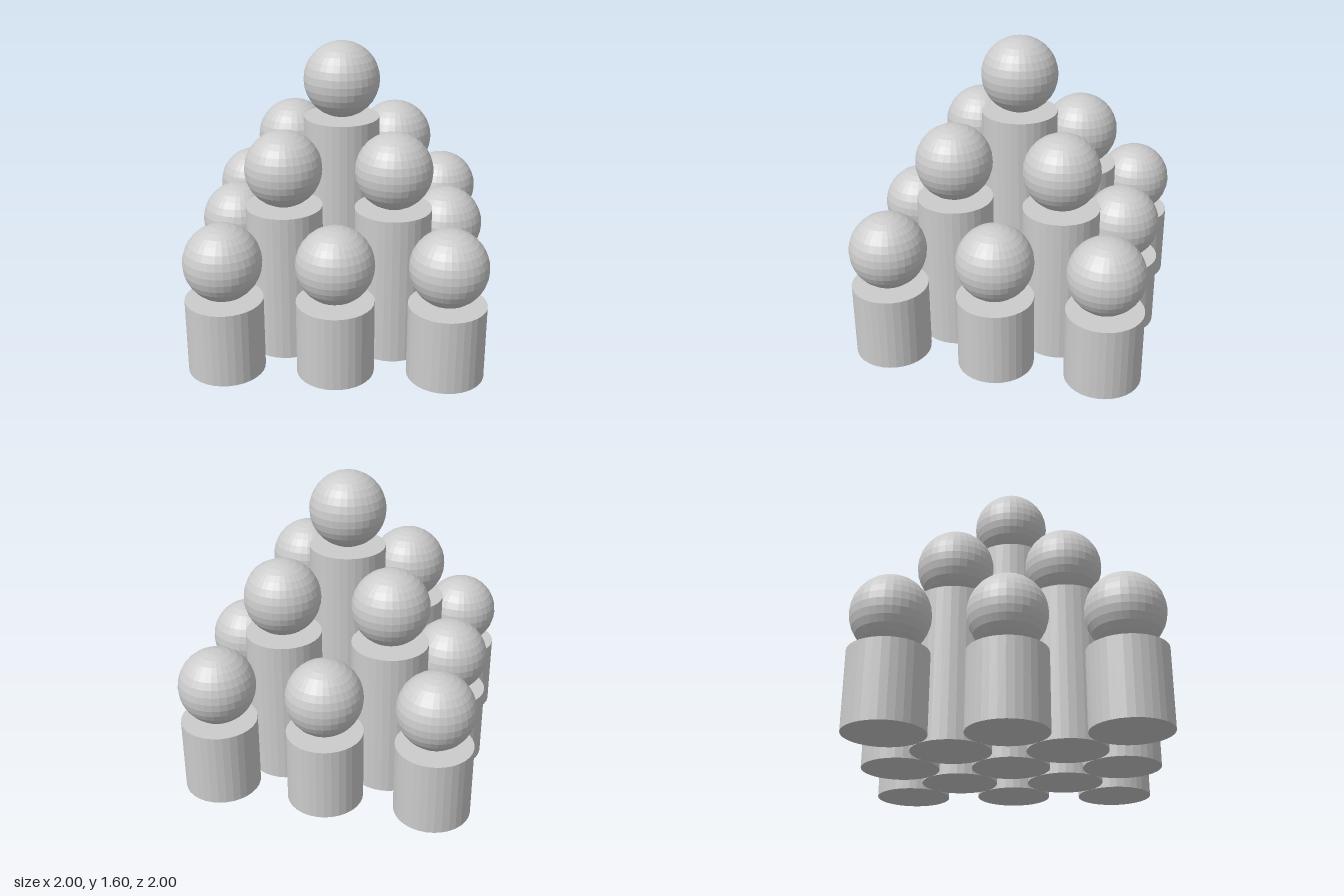
import * as THREE from 'three';

const RADIUS = 0.2;   // shared by columns and balls
const SPACING = 0.4;  // grid pitch, so neighbours touch
const STEP = 0.4;     // height gained per ring towards the centre
const RINGS = 2;

export function createModel() {
  const model = new THREE.Group();
  model.name = 'steppedColumns';
  const material = new THREE.MeshStandardMaterial({ color: 0xcccccc, flatShading: true });
  const ballGeometry = new THREE.SphereGeometry(RADIUS, 32, 16);

  // Diamond grid of columns, each carrying a ball
  for (let i = -RINGS; i <= RINGS; i++) {
    for (let j = -RINGS; j <= RINGS; j++) {
      const ring = Math.abs(i) + Math.abs(j);
      if (ring > RINGS) continue;
      const height = STEP * (RINGS + 1 - ring);

      const pillar = new THREE.Group();
      pillar.name = 'pillar';
      pillar.position.set(i * SPACING, 0, j * SPACING);

      const column = new THREE.Mesh(new THREE.CylinderGeometry(RADIUS, RADIUS, height, 32), material);
      column.name = 'column';
      column.position.y = height / 2;

      const ball = new THREE.Mesh(ballGeometry, material);
      ball.name = 'ball';
      ball.position.y = height + RADIUS;

      pillar.add(column, ball);
      model.add(pillar);
    }
  }
  return model;
}
